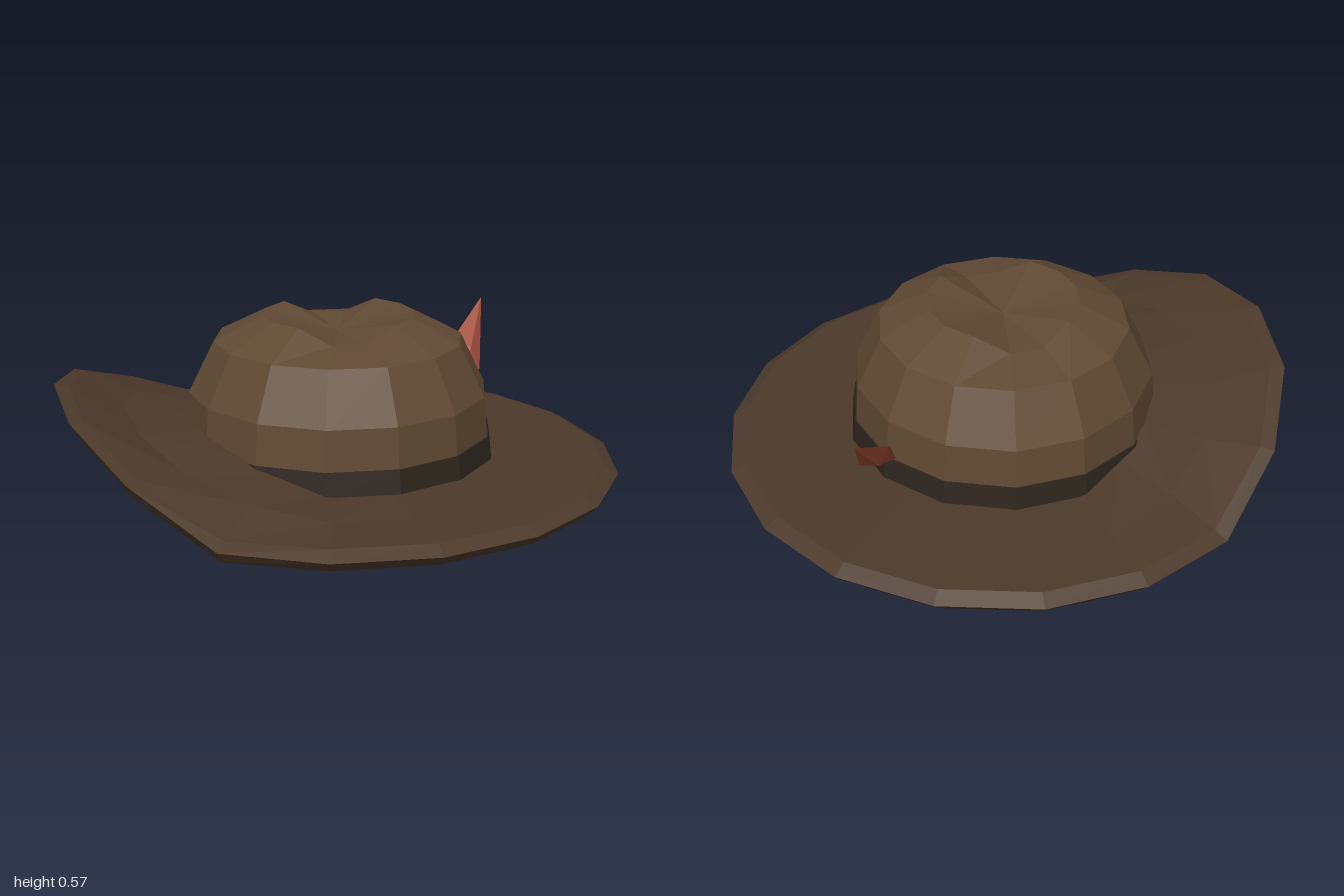
import * as THREE from 'three';

// Skin a list of rings; each ring is a list of [x, y, z] with the same count
function loft(rings) {
  const n = rings[0].length;
  const index = [];
  for (let r = 0; r < rings.length - 1; r++) {
    for (let i = 0; i < n; i++) {
      const a = r * n + i, b = r * n + (i + 1) % n;
      index.push(a, a + n, b, b, a + n, b + n);
    }
  }
  const geo = new THREE.BufferGeometry();
  geo.setAttribute('position', new THREE.Float32BufferAttribute(rings.flat(2), 3));
  geo.setIndex(index);
  geo.computeVertexNormals();
  return geo;
}

// Ring of n points, passed through an optional rule
function ring(n, radius, y, rule = p => p) {
  return Array.from({ length: n }, (_, i) => {
    const a = (i / n) * Math.PI * 2;
    return rule([radius * Math.cos(a), y, radius * Math.sin(a)]);
  });
}

// The brim is folded up on the -x side, more gently next to the crown
function lift([x, y, z]) {
  const t = THREE.MathUtils.clamp((Math.hypot(x, z) - 0.54) / 0.4, 0, 1);
  const inner = Math.max(0, 0.36 * (-x - 0.13));
  const outer = Math.max(0, 0.56 * (-x - 0.49)) + Math.max(0, 0.1 * (-x - 0.74));
  return [x, y + THREE.MathUtils.lerp(inner, outer, t), z];
}

// Head opening, cut straight along one chord
function opening([x, y, z]) {
  const nx = 0.64, nz = -0.77;
  const over = Math.max(0, x * nx + z * nz - 0.34);
  return lift([x - nx * over, y, z - nz * over]);
}

export function createModel() {
  const group = new THREE.Group();
  const add = (name, geo, color, side = THREE.FrontSide) => {
    const mesh = new THREE.Mesh(geo, new THREE.MeshStandardMaterial({ color, flatShading: true, side }));
    mesh.name = name;
    group.add(mesh);
  };
  const BRIM = 0x4c3a2b, CROWN = 0x604a34, BAND = 0x2e251d, FEATHER = 0xa04a37;

  // Brim: underside, bevelled rim, top surface, then the wall of the opening
  const brim = [[0.76, 0], [0.97, 0], [1, 0.035], [0.95, 0.062], [0.76, 0.07], [0.54, 0.08]];
  const hole = ring(18, 0.54, 0, opening);
  add('brim', loft([hole, ...brim.map(([r, y]) => ring(18, r, y, lift)), hole]), BRIM);

  // Crown with a closed base and a front-to-back crease in the top
  const crease = ([x, y, z]) => [x, Math.abs(x) < 0.1 ? 0.513 : y, z];
  add('crown', loft([
    ring(14, 0, 0.075),
    ring(14, 0.55, 0.075),
    ring(14, 0.545, 0.16),
    ring(14, 0.533, 0.3),
    ring(14, 0.443, 0.48),
    ring(14, 0.27, 0.568, crease),
    ring(14, 0, 0.505),
  ]), CROWN);

  // Hat band
  add('hatBand', loft([
    ring(14, 0.55, 0.075), ring(14, 0.563, 0.075), ring(14, 0.55, 0.16), ring(14, 0.54, 0.16),
  ]), BAND);

  // Feather: a flat, four-sided double point
  const base = [0.465, 0.16, -0.255], tip = [0.663, 0.477, -0.573];
  const middle = [[0.52, 0.35, -0.43], [0.58, 0.32, -0.385], [0.61, 0.24, -0.36], [0.56, 0.275, -0.425]];
  add('feather', loft([Array(4).fill(base), middle, Array(4).fill(tip)]), FEATHER, THREE.DoubleSide);

  return group;
}
